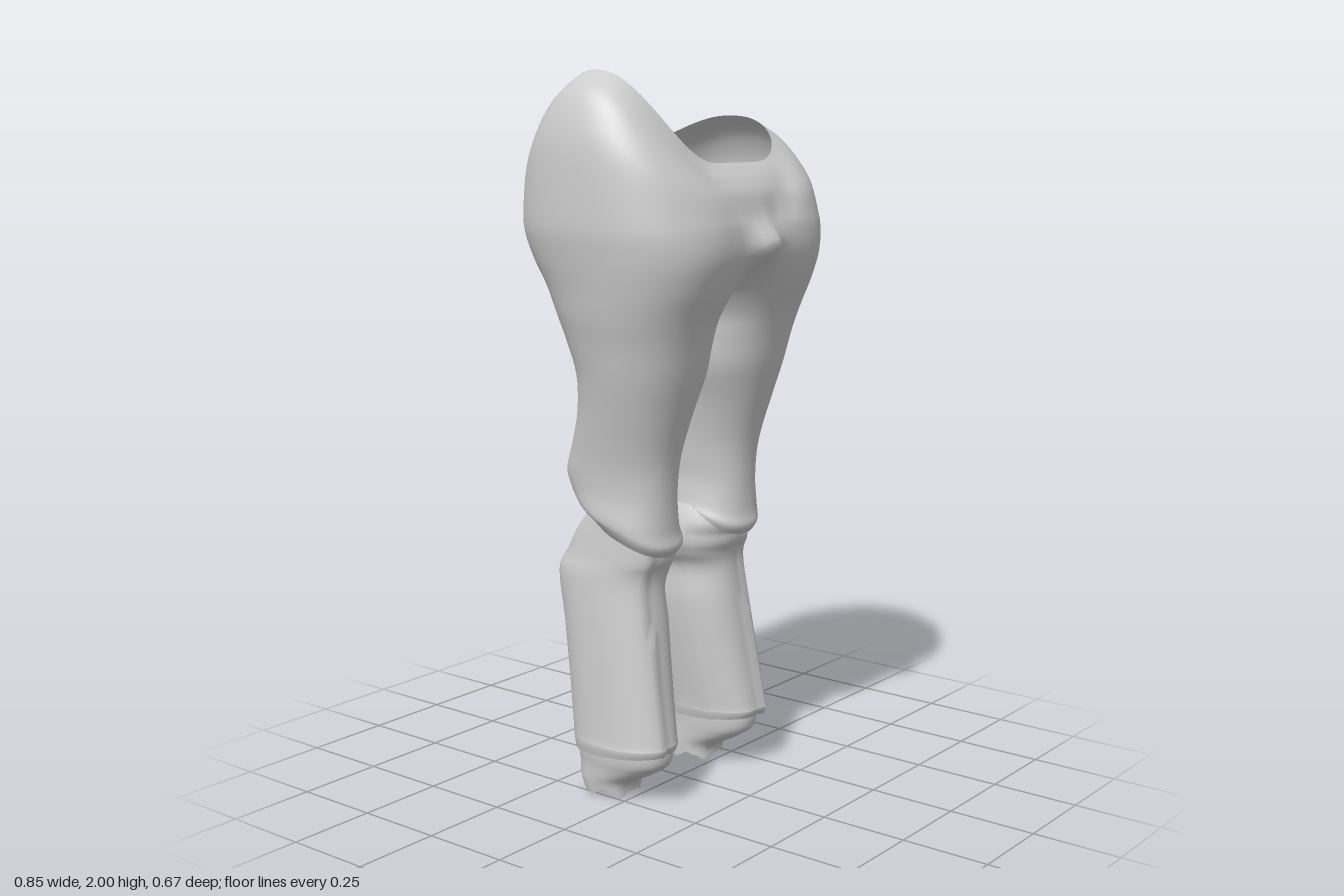
import * as THREE from 'three';
import { mergeGeometries, mergeVertices } from 'three/addons/utils/BufferGeometryUtils.js';

const COLS = 44, SUB = 5, POWER = 2.25;
const gauss = (d, w) => Math.exp(-(d * d) / (w * w));

// Cross-section rows: [height, rim blend, centre x, outer x, inner x, front z, back z, tilt]
// An inner x below zero means both halves are still joined at x = 0.
const hipAndThigh = [
  [1.78, 1.00, 0.08, 0.30, -0.60, 0.19, -0.255, 0],
  [1.74, 0.88, 0.10, 0.365, -0.55, 0.215, -0.285, 0],
  [1.72, 0.70, 0.12, 0.40, -0.50, 0.245, -0.312, 0],
  [1.69, 0.45, 0.14, 0.42, -0.42, 0.272, -0.328, 0],
  [1.60, 0.00, 0.16, 0.426, -0.30, 0.292, -0.33, 0],
  [1.52, 0, 0.17, 0.415, -0.20, 0.292, -0.302, 0],
  [1.44, 0, 0.18, 0.40, -0.06, 0.265, -0.25, 0],
  [1.36, 0, 0.185, 0.385, -0.005, 0.228, -0.212, 0],
  [1.29, 0, 0.185, 0.367, 0.003, 0.203, -0.185, 0],
  [1.20, 0, 0.18, 0.347, 0.012, 0.18, -0.16, 0],
  [1.10, 0, 0.18, 0.325, 0.042, 0.15, -0.168, 0],
  [1.00, 0, 0.18, 0.305, 0.06, 0.122, -0.20, 0],
  [0.93, 0, 0.18, 0.295, 0.066, 0.11, -0.225, 0],
  [0.87, 0, 0.18, 0.292, 0.07, 0.106, -0.215, 0.02],
  [0.81, 0, 0.18, 0.297, 0.064, 0.108, -0.18, 0.04],
  [0.78, 0, 0.175, 0.288, 0.06, 0.115, -0.15, 0.05],
  [0.755, 0, 0.175, 0.272, 0.07, 0.10, -0.125, 0.05],
];
const shin = [
  [0.85, 0, 0.17, 0.265, 0.09, 0.06, -0.12, 0],
  [0.76, 0, 0.165, 0.274, 0.045, 0.085, -0.20, 0],
  [0.69, 0, 0.165, 0.281, 0.03, 0.09, -0.24, 0],
  [0.65, 0, 0.165, 0.287, 0.036, 0.075, -0.264, 0],
  [0.60, 0, 0.17, 0.29, 0.064, 0.072, -0.262, 0],
  [0.50, 0, 0.175, 0.294, 0.062, 0.087, -0.24, 0],
  [0.35, 0, 0.185, 0.298, 0.076, 0.112, -0.215, 0],
  [0.20, 0, 0.19, 0.303, 0.094, 0.14, -0.195, 0],
  [0.17, 0, 0.19, 0.306, 0.096, 0.145, -0.19, -0.005],
  [0.145, 0, 0.19, 0.30, 0.102, 0.138, -0.187, -0.012],
];
const ankle = [
  [0.22, 0, 0.19, 0.28, 0.105, 0.11, -0.19, 0],
  [0.13, 0, 0.19, 0.275, 0.108, 0.115, -0.187, 0],
  [0.09, 0, 0.185, 0.268, 0.11, 0.075, -0.183, 0],
  [0.05, 0, 0.185, 0.262, 0.112, 0.005, -0.178, 0],
  [0.015, 0, 0.185, 0.255, 0.114, -0.008, -0.165, 0],
];

// Smooth interpolation between rows, component by component
function refine(rows) {
  const out = [], last = rows.length - 1;
  for (let k = 0; k <= last * SUB; k++) {
    const i = Math.min(Math.floor(k / SUB), last - 1), t = k / SUB - i;
    const r = [i - 1, i, i + 1, i + 2].map(n => rows[THREE.MathUtils.clamp(n, 0, last)]);
    out.push(rows[0].map((_, c) => {
      const [a, b, d, e] = r.map(q => q[c]);
      return b + 0.5 * t * (d - a + t * (2 * a - 5 * b + 4 * d - e + t * (3 * (b - d) + e - a)));
    }));
  }
  return out;
}

// Skin a stack of rows for one side (+1 left, -1 right)
function loft(rows, side, detail) {
  const pos = [], idx = [], rings = refine(rows);
  for (const [y0, s, cx, outer, inner, zf, zb, tilt] of rings) {
    const rin = cx - inner, cz = (zf + zb) / 2, rz = (zf - zb) / 2;
    const end = rin <= cx ? Math.PI : Math.PI - Math.acos(Math.pow(cx / rin, POWER / 2));
    for (let j = 0; j <= COLS; j++) {
      const a = end * (2 * j / COLS - 1), c = Math.cos(a), sn = Math.sin(a);
      const bend = v => Math.sign(v) * Math.pow(Math.abs(v), 2 / POWER);
      const p = new THREE.Vector3(cx + (c > 0 ? outer - cx : rin) * bend(c), y0 - tilt * sn, cz + rz * bend(sn));
      if (j === 0 || j === COLS) p.x = inner < 0 ? 0 : inner;
      p.x = Math.max(p.x, 0);
      // uneven rim, rising to a taller peak on the right hip
      if (s > 0) {
        const rim = 1.775 - 0.015 * sn + (side < 0 ? 0.225 : 0.105) * Math.max(c, 0) ** 2;
        p.y = THREE.MathUtils.lerp(1.6, rim, s);
      }
      if (detail) detail(p, sn, a);
      p.x = side * (p.x + (side < 0 ? 0.014 * Math.max(0, 1 - p.y / 0.7) : 0));
      pos.push(p.x, p.y, p.z);
    }
  }
  const w = COLS + 1;
  for (let i = 0; i < rings.length - 1; i++) for (let j = 0; j < COLS; j++) {
    const a = i * w + j, b = a + 1, c = a + w, d = c + 1;
    if (side > 0) idx.push(a, b, c, b, d, c);
    else idx.push(a, c, b, b, c, d);
  }
  const g = new THREE.BufferGeometry();
  g.setAttribute('position', new THREE.Float32BufferAttribute(pos, 3));
  g.setIndex(idx);
  return g;
}

// Small raised knot at the front, with a shallow fold running up from it on each side
function frontFold(p, sn) {
  if (sn <= 0) return;
  p.z += 0.06 * gauss(p.x, 0.045) * gauss(p.y - 1.55, 0.05);
  p.z -= 0.018 * gauss(p.y - 1.58 - 0.8 * p.x, 0.05) * gauss(p.x - 0.11, 0.08);
}

// Vertical step down the front of the shin
function shinSeam(p, sn) {
  if (sn > 0.3 && p.x < 0.215 && p.y < 0.72) p.z -= 0.014;
}

// Ragged lower edge of the ankle
function raggedEnd(p, sn, a) {
  if (p.y < 0.06) p.y += 0.012 * (Math.sin(a * 5) + 0.4 * Math.sin(a * 11)) * (1 - p.y / 0.06);
}

export function createModel() {
  const group = new THREE.Group();
  const material = new THREE.MeshStandardMaterial({ color: 0xcccccc, side: THREE.DoubleSide });
  const add = (name, parts) => {
    const g = mergeVertices(mergeGeometries(parts), 1e-4);
    g.computeVertexNormals();
    const mesh = new THREE.Mesh(g, material);
    mesh.name = name;
    group.add(mesh);
  };

  // Hips and both thighs form one skin
  add('hipsAndThighs', [1, -1].map(s => loft(hipAndThigh, s, frontFold)));

  // Lower legs and ankle ends
  for (const [label, s] of [['left', 1], ['right', -1]]) {
    add(label + 'Shin', [loft(shin, s, shinSeam)]);
    add(label + 'Ankle', [loft(ankle, s, raggedEnd)]);
  }
  return group;
}
